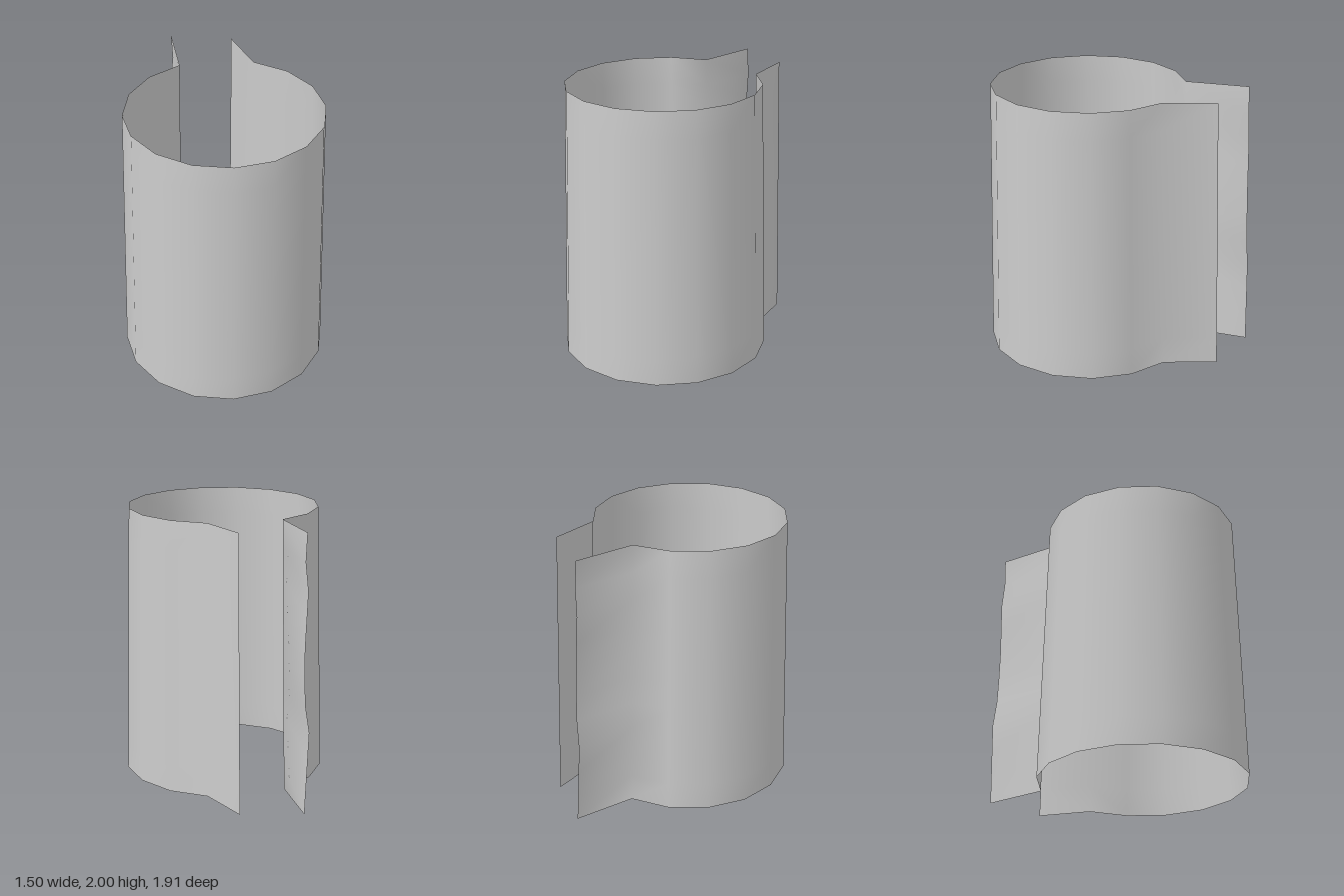
import * as THREE from 'three';

const ROWS = 10;        // height steps
const HEIGHT = 2;
const SIDES = 16;       // full circle; two sides are left open at the back
const CENTER_Z = 0.2;

// x of the rippled free edge, from bottom to top
const RIPPLE = [-0.30, -0.31, -0.32, -0.33, -0.30, -0.295, -0.295, -0.305, -0.315, -0.295, -0.305];

// Horizontal outline of the sheet at one height
function outline(row) {
  const t = row / ROWS;
  const radius = 0.75 - 0.05 * t;
  const points = [[RIPPLE[row], -0.96 + 0.05 * t]]; // right flap edge
  for (let i = -7; i <= 7; i++) {
    const a = (i / SIDES) * Math.PI * 2;
    points.push([Math.sin(a) * radius, CENTER_Z + Math.cos(a) * radius]);
  }
  points.push([0.14, -0.86 + 0.05 * t]); // left flap edge
  return points;
}

// Loft the outlines into one open sheet
function loftSheet() {
  const positions = [];
  const index = [];
  let columns = 0;
  for (let row = 0; row <= ROWS; row++) {
    const points = outline(row);
    columns = points.length;
    for (const [x, z] of points) positions.push(x, (row / ROWS) * HEIGHT, z);
  }
  for (let row = 0; row < ROWS; row++) {
    for (let c = 0; c < columns - 1; c++) {
      const a = row * columns + c;
      const b = a + 1;
      const d = a + columns;
      index.push(a, b, d + 1, a, d + 1, d);
    }
  }
  const geometry = new THREE.BufferGeometry();
  geometry.setAttribute('position', new THREE.Float32BufferAttribute(positions, 3));
  geometry.setIndex(index);
  geometry.computeVertexNormals();
  return geometry;
}

export function createModel() {
  const group = new THREE.Group();
  group.name = 'openSleeve';
  const material = new THREE.MeshStandardMaterial({ color: 0xcccccc, side: THREE.DoubleSide });

  // Tapered wrap with two flaps flaring out at the back opening
  const sheet = new THREE.Mesh(loftSheet(), material);
  sheet.name = 'wrappedSheet';
  group.add(sheet);
  return group;
}
